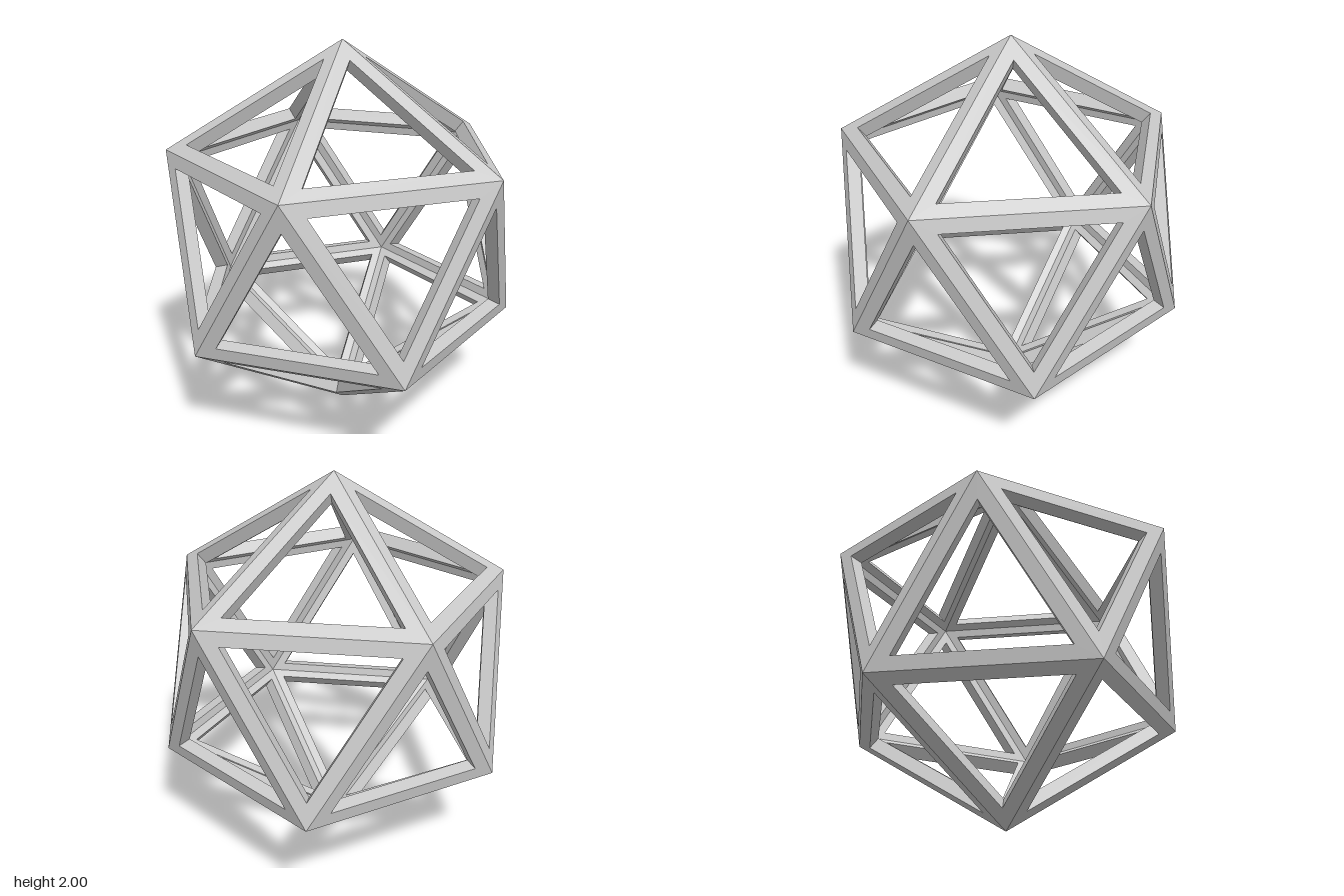
import * as THREE from 'three';

const BAR = 0.07;   // bar width on each face
const DEPTH = 0.07; // wall depth, measured along the face normal

// Triangular panel with a triangular window, lofted through four loops:
// outer rim, window front, window back, inner rim.
function panelGeometry(a, b, c) {
  const centre = new THREE.Vector3().add(a).add(b).add(c).divideScalar(3);
  const height = centre.length();
  const normal = centre.clone().normalize();
  const inradius = a.distanceTo(b) / (2 * Math.sqrt(3));

  // keep the corners counter-clockwise seen from outside
  const turn = b.clone().sub(a).cross(c.clone().sub(a)).dot(normal);
  const outer = turn > 0 ? [a, b, c] : [a, c, b];

  const windowFront = outer.map((p) => centre.clone().lerp(p, 1 - BAR / inradius));
  const windowBack = windowFront.map((p) => p.clone().addScaledVector(normal, -DEPTH));
  const inner = outer.map((p) => p.clone().multiplyScalar(1 - DEPTH / height));
  const loops = [outer, windowFront, windowBack, inner];

  const points = [];
  for (let l = 0; l < 3; l++) {
    for (let i = 0; i < 3; i++) {
      const j = (i + 1) % 3;
      const [p, q, r, s] = [loops[l][i], loops[l][j], loops[l + 1][j], loops[l + 1][i]];
      points.push(p, q, r, p, r, s);
    }
  }
  const geometry = new THREE.BufferGeometry().setFromPoints(points);
  geometry.computeVertexNormals();
  return geometry;
}

export function createModel() {
  const model = new THREE.Group();
  model.name = 'icosahedronFrame';
  const material = new THREE.MeshStandardMaterial({ color: 0xcccccc, flatShading: true });

  // Corners: two poles and two staggered rings of five
  const ringY = 1 / Math.sqrt(5);
  const ringR = 2 / Math.sqrt(5);
  const ring = (y, offset) => Array.from({ length: 5 }, (_, k) => {
    const t = (k + offset) * Math.PI * 2 / 5;
    return new THREE.Vector3(ringR * Math.cos(t), y, ringR * Math.sin(t));
  });
  const top = new THREE.Vector3(0, 1, 0);
  const bottom = new THREE.Vector3(0, -1, 0);
  const upper = ring(ringY, 0);
  const lower = ring(-ringY, 0.5);

  const parts = {};
  for (const name of ['topCap', 'middleBand', 'bottomCap']) {
    parts[name] = new THREE.Group();
    parts[name].name = name;
    parts[name].position.y = 1;
    model.add(parts[name]);
  }
  const addPanel = (part, name, a, b, c) => {
    const mesh = new THREE.Mesh(panelGeometry(a, b, c), material);
    mesh.name = name;
    parts[part].add(mesh);
  };

  for (let k = 0; k < 5; k++) {
    const n = (k + 1) % 5;
    addPanel('topCap', `topPanel${k + 1}`, top, upper[k], upper[n]);
    addPanel('middleBand', `downPanel${k + 1}`, upper[k], upper[n], lower[k]);
    addPanel('middleBand', `upPanel${k + 1}`, lower[k], lower[n], upper[n]);
    addPanel('bottomCap', `bottomPanel${k + 1}`, bottom, lower[k], lower[n]);
  }
  return model;
}
